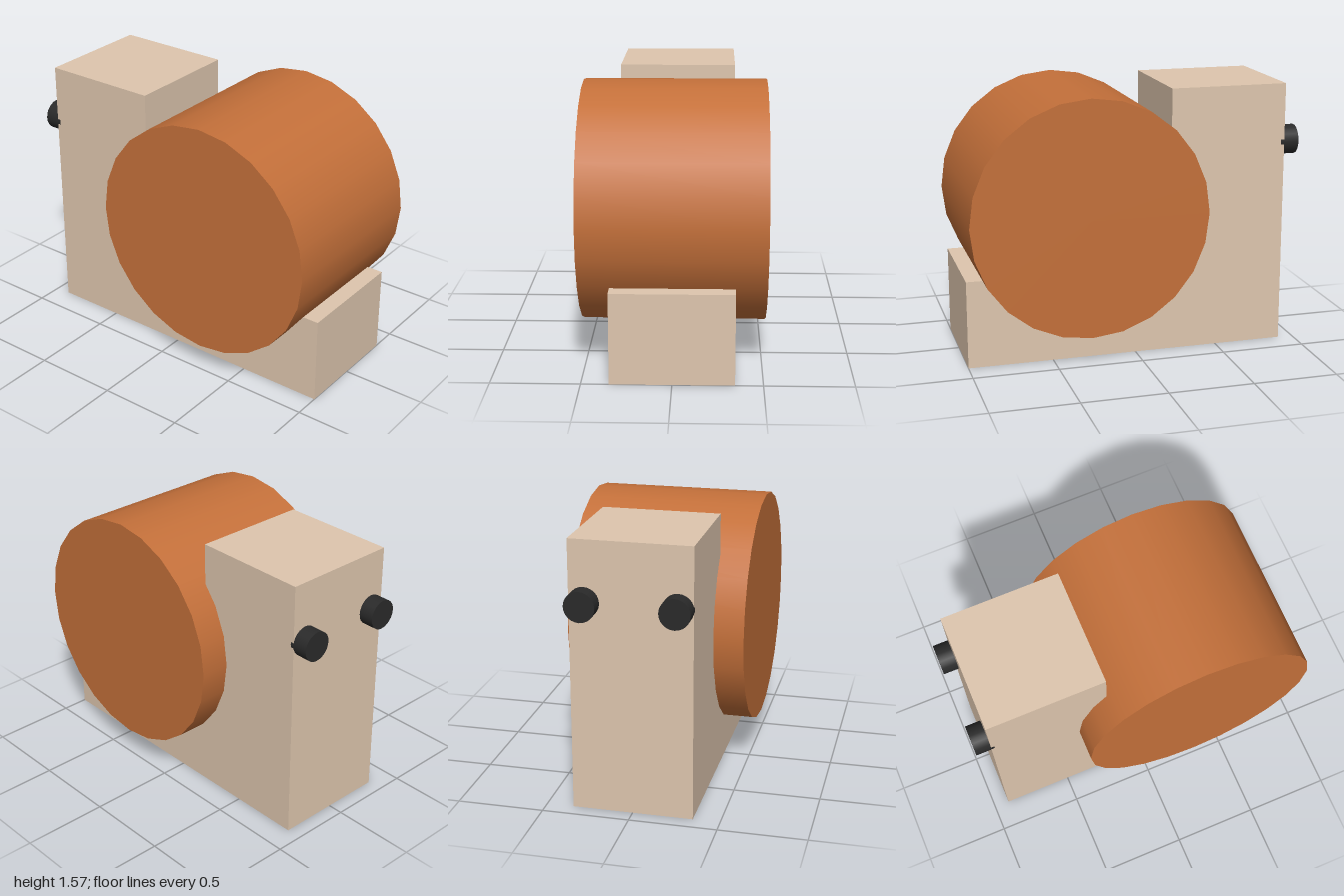
import * as THREE from 'three';

function material(color) {
  return new THREE.MeshStandardMaterial({ color });
}

function addMesh(group, name, geometry, mat) {
  const mesh = new THREE.Mesh(geometry, mat);
  mesh.name = name;
  group.add(mesh);
  return mesh;
}

export function createModel() {
  const model = new THREE.Group();
  model.name = 'coilOnBase';
  const tan = material(0xdec6ae);
  const copper = material(0xc4703a);
  const black = material(0x2a2a2a);

  // L-shaped body: side profile (z, y) extruded across the width
  const width = 0.69;
  const profile = new THREE.Shape([
    [-0.91, 0], [1, 0], [1, 0.52], [-0.215, 0.52], [-0.215, 1.57], [-0.91, 1.57],
  ].map(([z, y]) => new THREE.Vector2(-z, y)));
  const bodyGeometry = new THREE.ExtrudeGeometry(profile, { depth: width, bevelEnabled: false });
  bodyGeometry.translate(0, 0, -width / 2);
  bodyGeometry.rotateY(Math.PI / 2);
  addMesh(model, 'body', bodyGeometry, tan);

  // Large drum lying across the body
  const drumGeometry = new THREE.CylinderGeometry(0.695, 0.695, 1.04, 24);
  drumGeometry.rotateZ(Math.PI / 2);
  addMesh(model, 'drum', drumGeometry, copper).position.set(0, 0.873, 0.305);

  // Pair of round terminals on the back
  const terminalGeometry = new THREE.CylinderGeometry(0.087, 0.087, 0.11, 24);
  terminalGeometry.rotateX(Math.PI / 2);
  for (const side of [-1, 1]) {
    const name = side > 0 ? 'leftTerminal' : 'rightTerminal';
    addMesh(model, name, terminalGeometry, black).position.set(side * 0.26, 1.22, -0.945);
  }

  return model;
}
